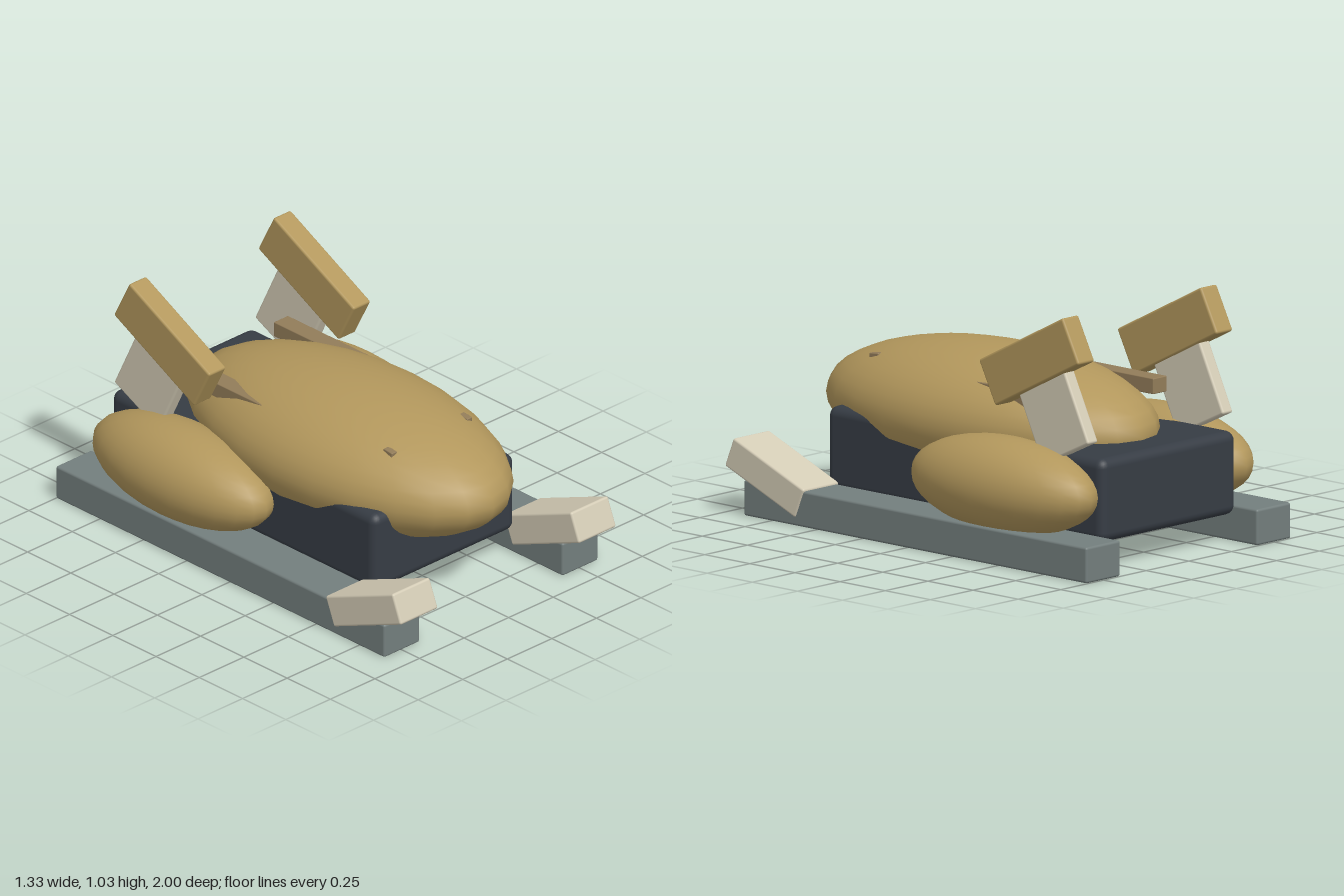
import * as THREE from 'three';
import { RoundedBoxGeometry } from 'three/addons/geometries/RoundedBoxGeometry.js';

const mat = (name, color) => {
  const m = new THREE.MeshStandardMaterial({ color });
  m.name = name;
  return m;
};

export function createModel() {
  const gold = mat('gold', 0xb2975c);
  const slate = mat('dark slate', 0x363c44);
  const steel = mat('grey steel', 0x737e7d);
  const cream = mat('cream', 0xd3cbb5);
  const brown = mat('brown', 0x927c59);

  const model = new THREE.Group();
  model.name = 'sled';

  const place = (name, geometry, material, [x, y, z], tilt = 0) => {
    const mesh = new THREE.Mesh(geometry, material);
    mesh.name = name;
    mesh.position.set(x, y, z);
    mesh.rotation.x = tilt;
    model.add(mesh);
    return mesh;
  };
  const box = (w, h, d, r) => new RoundedBoxGeometry(w, h, d, 3, r);
  const ellipsoid = (rx, ry, rz) => new THREE.SphereGeometry(1, 24, 20).scale(rx, ry, rz);

  // Central chassis and the egg-shaped hull sunk into it
  place('chassis', box(0.795, 0.345, 1.53, 0.04), slate, [0, 0.2875, -0.13]);
  place('hull', ellipsoid(0.437, 0.278, 0.83), gold, [0, 0.468, 0.085]);

  for (const s of [1, -1]) {
    const side = s > 0 ? 'left' : 'right';

    // Long runner with an upturned tip
    place(`${side}Runner`, box(0.2, 0.148, 1.9, 0.01), steel, [s * 0.5, 0.074, -0.05]);
    place(`${side}RunnerTip`, box(0.21, 0.132, 0.422, 0.01), cream, [s * 0.5, 0.173, 0.782], -0.385);

    // Rear side pod
    place(`${side}Pod`, ellipsoid(0.21, 0.196, 0.482), gold, [s * 0.455, 0.302, -0.41]);

    // Raised strut carrying a tilted blade
    place(`${side}Strut`, box(0.06, 0.36, 0.285, 0.01), cream, [s * 0.395, 0.625, -0.639], 0.45);
    place(`${side}Blade`, box(0.097, 0.2, 0.523, 0.01), gold, [s * 0.405, 0.822, -0.54], 0.475);

    // Rear fin and small marker bump on the nose
    place(`${side}Fin`, box(0.08, 0.065, 0.5, 0.004), brown, [s * 0.265, 0.6225, -0.34]);
    place(`${side}NoseBump`, box(0.03, 0.03, 0.05, 0.004), brown, [s * 0.211, 0.65, 0.532], 0.1);
  }

  return model;
}
